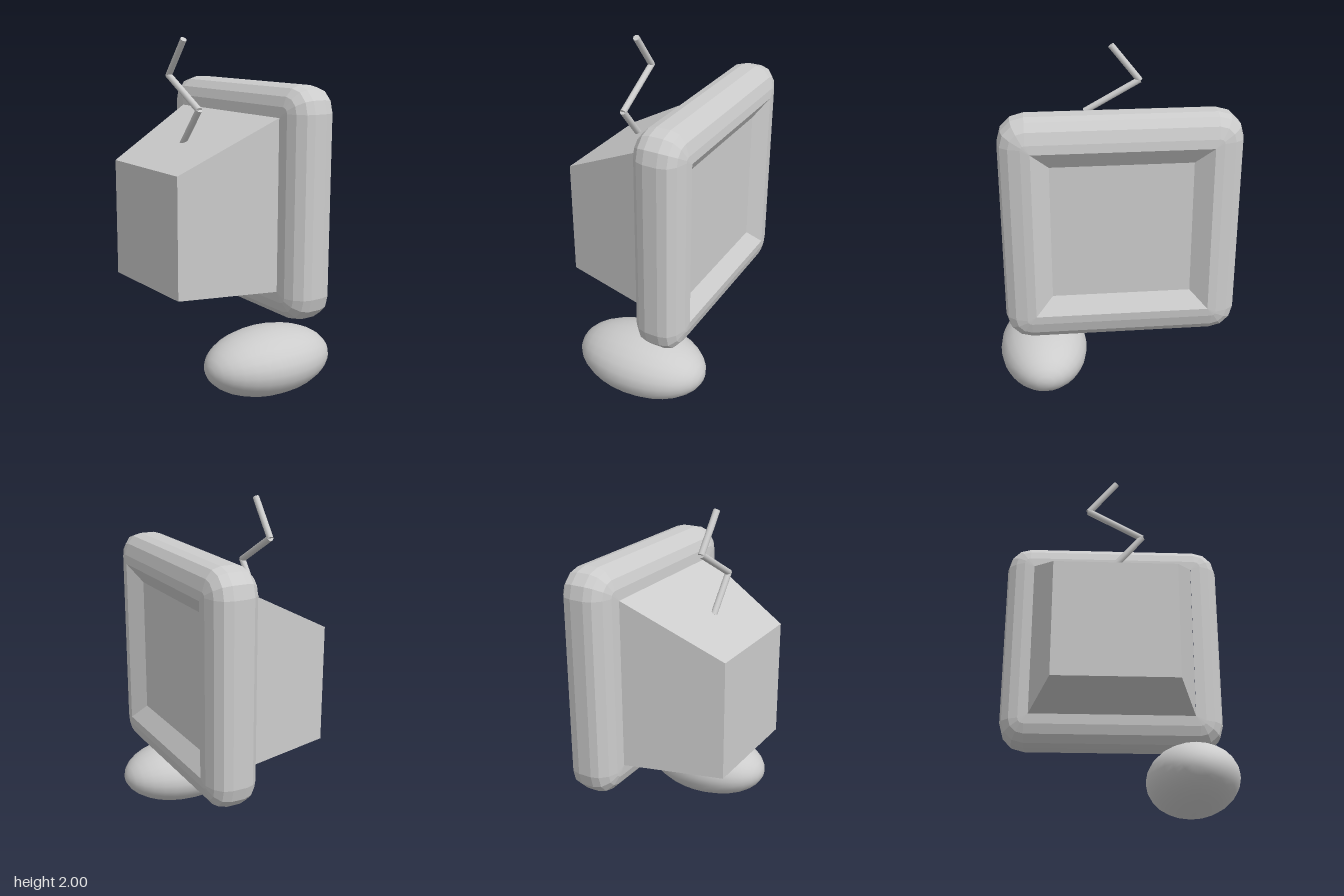
import * as THREE from 'three';

const CORNER_STEPS = 3;

// Rounded rectangle in the y/z plane at a given x
function ring(x, y0, y1, z0, z1, r) {
  const corners = [[z0 + r, y1 - r], [z1 - r, y1 - r], [z1 - r, y0 + r], [z0 + r, y0 + r]];
  const points = [];
  corners.forEach(([z, y], c) => {
    for (let s = 0; s <= CORNER_STEPS; s++) {
      const a = (c + s / CORNER_STEPS) * Math.PI / 2;
      points.push([x, y + r * Math.sin(a), z - r * Math.cos(a)]);
    }
  });
  return points;
}

// Skin joining consecutive rings, ordered from back to front
function loft(rings) {
  const n = rings[0].length, index = [];
  for (let i = 0; i < rings.length - 1; i++) {
    for (let j = 0; j < n; j++) {
      const k = (j + 1) % n;
      const a = i * n + j, b = i * n + k, c = b + n, d = a + n;
      index.push(a, b, c, a, c, d);
    }
  }
  const g = new THREE.BufferGeometry();
  g.setAttribute('position', new THREE.Float32BufferAttribute(rings.flat(2), 3));
  g.setIndex(index);
  const flat = g.toNonIndexed();
  flat.computeVertexNormals();
  return flat;
}

export function createModel() {
  const group = new THREE.Group();
  const grey = new THREE.MeshStandardMaterial({ color: 0xcccccc });
  grey.name = 'light grey';

  const add = (name, geometry, parent = group) => {
    const mesh = new THREE.Mesh(geometry, grey);
    mesh.name = name;
    parent.add(mesh);
    return mesh;
  };

  // Rounded bezel with a recessed screen: [x, half size]
  const cy = 1.0875, cz = -0.024;
  const square = (x, h, r) => ring(x, cy - h, cy + h, cz - h, cz + h, r);
  const profile = [
    [0.095, 0.49], [0.1, 0.55], [0.12, 0.605], [0.16, 0.648], [0.205, 0.662],
    [0.285, 0.662], [0.335, 0.648], [0.37, 0.605], [0.39, 0.54], [0.395, 0.49],
  ];
  const bezel = profile.map(([x, h]) => square(x, h, Math.max(0, h - 0.515)));
  add('bezel', loft(bezel));
  add('screen', loft([square(0.395, 0.49, 0), square(0.33, 0.392, 0), square(0.33, 0, 0)]));

  // Tapered housing behind the bezel
  add('housing', loft([
    ring(-0.465, 0.95, 0.95, -0.03, -0.03, 0),
    ring(-0.465, 0.603, 1.29, -0.375, 0.32, 0),
    ring(0.1, 0.598, 1.58, -0.515, 0.466, 0),
    ring(0.1, cy, cy, cz, cz, 0),
  ]));

  // Zigzag antenna
  const antenna = new THREE.Group();
  antenna.name = 'antenna';
  group.add(antenna);
  const path = [[1.41, -0.03], [1.61, 0.138], [1.787, -0.18], [1.99, -0.017]]
    .map(([y, z]) => new THREE.Vector3(-0.21, y, z));
  for (let i = 0; i < path.length - 1; i++) {
    const dir = path[i + 1].clone().sub(path[i]);
    const rod = add('antennaRod', new THREE.CylinderGeometry(0.019, 0.019, dir.length() + 0.006, 10), antenna);
    rod.position.copy(path[i]).addScaledVector(dir, 0.5);
    rod.quaternion.setFromUnitVectors(new THREE.Vector3(0, 1, 0), dir.normalize());
  }

  // Smooth egg-shaped foot, its poles along x
  const foot = new THREE.SphereGeometry(1, 24, 16);
  foot.rotateZ(Math.PI / 2);
  foot.scale(0.4, 0.192, 0.263);
  add('foot', foot).position.set(0.064, 0.194, 0.427);

  return group;
}
